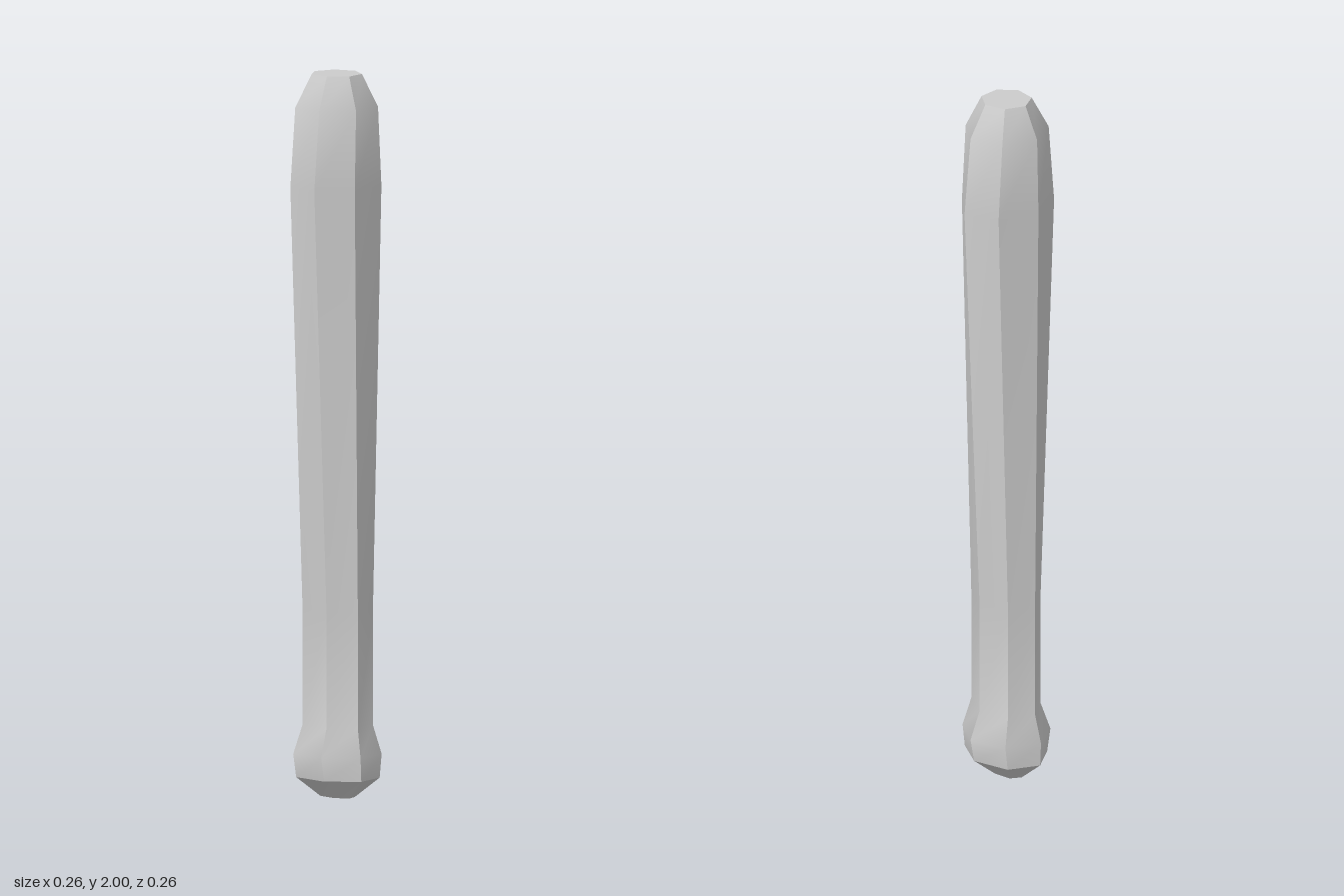
import * as THREE from 'three';
import { toCreasedNormals } from 'three/addons/utils/BufferGeometryUtils.js';

// Seven-sided cross-sections from top to bottom: [height, x radius, z radius]
const RINGS = [
  [2.0, 0.07, 0.072],
  [1.91, 0.119, 0.113],
  [1.69, 0.139, 0.113],
  [0.52, 0.089, 0.113],
  [0.2, 0.089, 0.113],
  [0.12, 0.119, 0.132],
  [0.055, 0.107, 0.132],
  [0.0, 0.037, 0.064],
];
const SIDES = 7;
const CENTRE_X = -0.007; // an odd-sided section is lopsided, so shift it to centre the bounds

// Unit prism whose rows of vertices are moved onto the cross-sections
function createBatGeometry() {
  const rows = RINGS.length - 1;
  const geometry = new THREE.CylinderGeometry(1, 1, 1, SIDES, rows, false, Math.PI / 2);
  const p = geometry.attributes.position;
  for (let i = 0; i < p.count; i++) {
    const [y, rx, rz] = RINGS[Math.round((0.5 - p.getY(i)) * rows)];
    p.setXYZ(i, CENTRE_X + p.getX(i) * rx, y, p.getZ(i) * rz);
  }
  // Smooth along the length, sharp between the sides and at the ends
  return toCreasedNormals(geometry, 0.6);
}

export function createModel() {
  const group = new THREE.Group();
  group.name = 'bat';
  const material = new THREE.MeshStandardMaterial({ color: 0xcccccc });
  const body = new THREE.Mesh(createBatGeometry(), material);
  body.name = 'batBody';
  group.add(body);
  return group;
}
